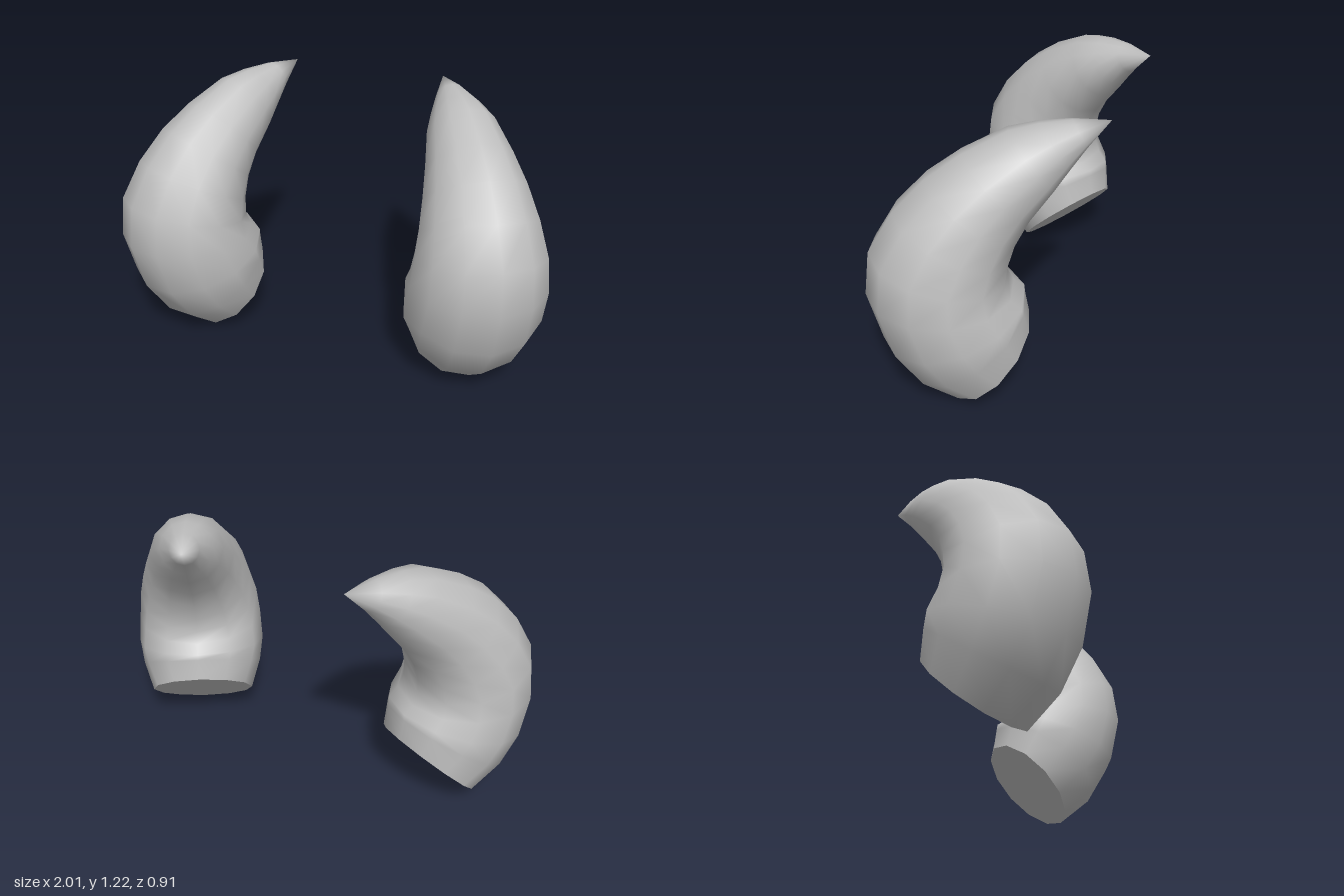
import * as THREE from 'three';

const SIDES = 12;
// Cross-sections along the horn: outward reach, height, radius, tilt in degrees
const SECTIONS = [
  [0.015, 0.18, 0.25, 45],
  [0.10, 0.293, 0.295, 56],
  [0.155, 0.395, 0.312, 73],
  [0.205, 0.525, 0.303, 91],
  [0.205, 0.65, 0.288, 105],
  [0.15, 0.77, 0.26, 118],
  [0.07, 0.88, 0.228, 129],
  [-0.03, 0.975, 0.195, 137],
  [-0.17, 1.075, 0.155, 145],
  [-0.26, 1.122, 0.115, 150],
  [-0.36, 1.166, 0.066, 155],
];
const TIP = [-0.488, 1.21];

function buildGeometry(positions, indices) {
  const g = new THREE.BufferGeometry();
  g.setAttribute('position', new THREE.Float32BufferAttribute(positions, 3));
  g.setIndex(indices);
  g.computeVertexNormals();
  return g;
}

// One curved horn; side is +1 or -1 along x
function createHorn(side, material) {
  // The horn bends in an upright plane that points forward and outward
  const at = (reach, y, across) => [
    side * (0.6 + 0.49 * reach + 0.872 * across),
    y,
    -0.035 + 0.872 * reach - 0.49 * across,
  ];
  const rings = SECTIONS.map(([reach, y, r, deg]) => {
    const t = THREE.MathUtils.degToRad(deg);
    return Array.from({ length: SIDES }, (_, j) => {
      const a = (j / SIDES) * Math.PI * 2;
      const u = r * Math.cos(a);
      return at(reach + u * Math.sin(t), y - u * Math.cos(t), r * Math.sin(a));
    });
  });

  // Mirrored horns need the opposite corner order
  const face = (list, a, b, c) => (side > 0 ? list.push(a, b, c) : list.push(a, c, b));

  // Smooth body closing in a pointed tip
  const body = [];
  const tip = rings.length * SIDES;
  for (let i = 0; i < rings.length; i++) {
    for (let j = 0; j < SIDES; j++) {
      const k = (j + 1) % SIDES;
      const a = i * SIDES + j;
      const b = i * SIDES + k;
      if (i === rings.length - 1) {
        face(body, a, b, tip);
      } else {
        face(body, a, b, b + SIDES);
        face(body, a, b + SIDES, a + SIDES);
      }
    }
  }
  const bodyMesh = new THREE.Mesh(
    buildGeometry([...rings.flat(2), ...at(TIP[0], TIP[1], 0)], body), material);
  bodyMesh.name = 'hornBody';

  // Flat base with its own sharp edge
  const cap = [];
  for (let j = 0; j < SIDES; j++) face(cap, SIDES, (j + 1) % SIDES, j);
  const capMesh = new THREE.Mesh(
    buildGeometry([...rings[0].flat(), ...at(SECTIONS[0][0], SECTIONS[0][1], 0)], cap), material);
  capMesh.name = 'hornBase';

  const horn = new THREE.Group();
  horn.name = side > 0 ? 'leftHorn' : 'rightHorn';
  horn.add(bodyMesh, capMesh);
  return horn;
}

export function createModel() {
  const hornGrey = new THREE.MeshStandardMaterial({ color: 0xbfbfbf });
  hornGrey.name = 'hornGrey';
  const model = new THREE.Group();
  model.name = 'horns';
  for (const side of [1, -1]) model.add(createHorn(side, hornGrey));
  return model;
}
